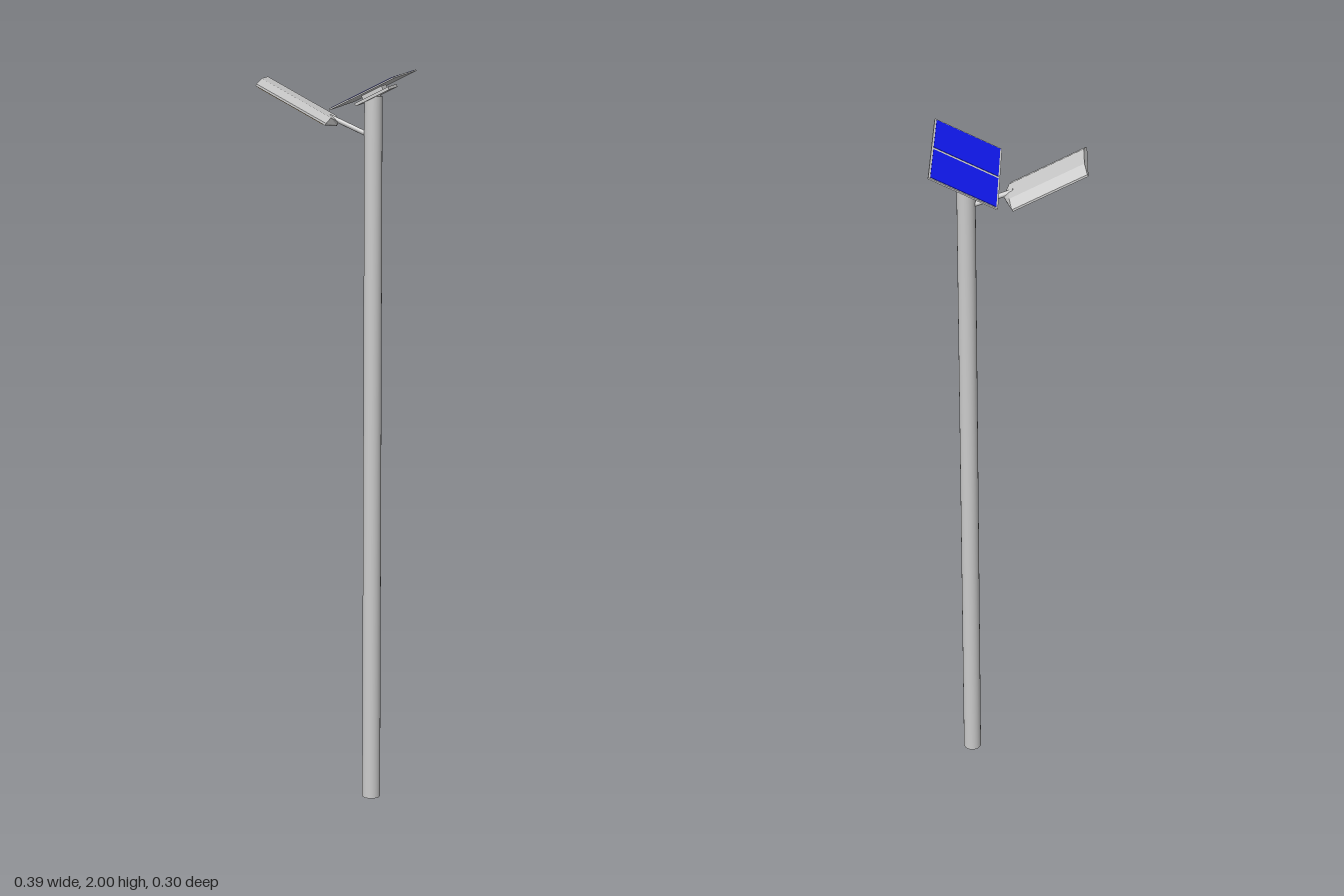
import * as THREE from 'three';

const grey = new THREE.MeshStandardMaterial({ color: 0xcccccc });
const shell = new THREE.MeshStandardMaterial({ color: 0xcccccc, flatShading: true, side: THREE.DoubleSide });
const blue = new THREE.MeshStandardMaterial({ color: 0x1018f0 });
const amber = new THREE.MeshStandardMaterial({ color: 0xe8a010 });

function add(parent, name, geometry, material, x = 0, y = 0, z = 0) {
  const mesh = new THREE.Mesh(geometry, material);
  mesh.name = name;
  mesh.position.set(x, y, z);
  parent.add(mesh);
  return mesh;
}

// Round bar between two points
function bar(parent, name, a, b, ra, rb) {
  const dir = b.clone().sub(a);
  const mesh = add(parent, name, new THREE.CylinderGeometry(rb, ra, dir.length(), 12), grey);
  mesh.position.copy(a).add(b).multiplyScalar(0.5);
  mesh.quaternion.setFromUnitVectors(new THREE.Vector3(0, 1, 0), dir.normalize());
  return mesh;
}

// Closed skin through cross-sections of equal point count, capped at both ends
function loft(sections) {
  const n = sections[0].length;
  const index = [];
  for (let s = 0; s < sections.length - 1; s++) {
    for (let i = 0; i < n; i++) {
      const a = s * n + i, b = s * n + (i + 1) % n;
      index.push(a, b, a + n, b, b + n, a + n);
    }
  }
  const last = (sections.length - 1) * n;
  for (let i = 1; i < n - 1; i++) index.push(0, i + 1, i, last, last + i, last + i + 1);
  const g = new THREE.BufferGeometry();
  g.setAttribute('position', new THREE.Float32BufferAttribute(sections.flat(2), 3));
  g.setIndex(index);
  const flat = g.toNonIndexed();
  flat.computeVertexNormals();
  return flat;
}

export function createModel() {
  const model = new THREE.Group();
  model.name = 'solarStreetLight';
  const px = 0.108;

  // Pole with a head sleeve
  add(model, 'pole', new THREE.CylinderGeometry(0.024, 0.025, 1.84, 24), grey, px, 0.92, 0);
  add(model, 'poleHead', new THREE.CylinderGeometry(0.024, 0.024, 0.1, 24), grey, px, 1.89, 0);

  // Tilted solar panel: local x runs up the slope
  const panel = new THREE.Group();
  panel.name = 'solarPanel';
  panel.position.set(px, 1.957, 0);
  panel.rotation.z = 0.464;
  model.add(panel);
  add(panel, 'panelFrame', new THREE.BoxGeometry(0.19, 0.004, 0.3), grey);
  for (const side of [-1, 1]) {
    add(panel, 'solarCell', new THREE.BoxGeometry(0.18, 0.002, 0.14), blue, 0, 0.002, side * 0.075);
  }
  add(panel, 'mountPlate', new THREE.BoxGeometry(0.1, 0.008, 0.11), grey, 0, -0.016, 0);
  add(panel, 'mountBlock', new THREE.BoxGeometry(0.06, 0.014, 0.06), grey, 0, -0.008, 0);

  // Arm from pole to lamp
  bar(model, 'lampArm', new THREE.Vector3(px, 1.832, 0), new THREE.Vector3(-0.012, 1.884, -0.007), 0.0065, 0.0065);

  // Lamp head: local -x points outward along its slope
  const lamp = new THREE.Group();
  lamp.name = 'lampHead';
  lamp.position.set(-0.005, 1.863, -0.007);
  lamp.rotation.set(0, 0.03, -0.495);
  model.add(lamp);
  const section = (x, half, top, base, height) => [
    [x, base, half], [x, base + height * 0.3, half],
    [x, base + height, top], [x, base + height, -top],
    [x, base + height * 0.3, -half], [x, base, -half],
  ];
  add(lamp, 'lampHousing', loft([
    section(-0.218, 0.07, 0.037, 0, 0.02),
    section(-0.006, 0.07, 0.037, 0, 0.02),
    section(0.012, 0.008, 0.005, 0.002, 0.012),
  ]), shell);
  add(lamp, 'lightPanel', new THREE.BoxGeometry(0.196, 0.003, 0.124), amber, -0.112, -0.0005, 0);

  return model;
}
